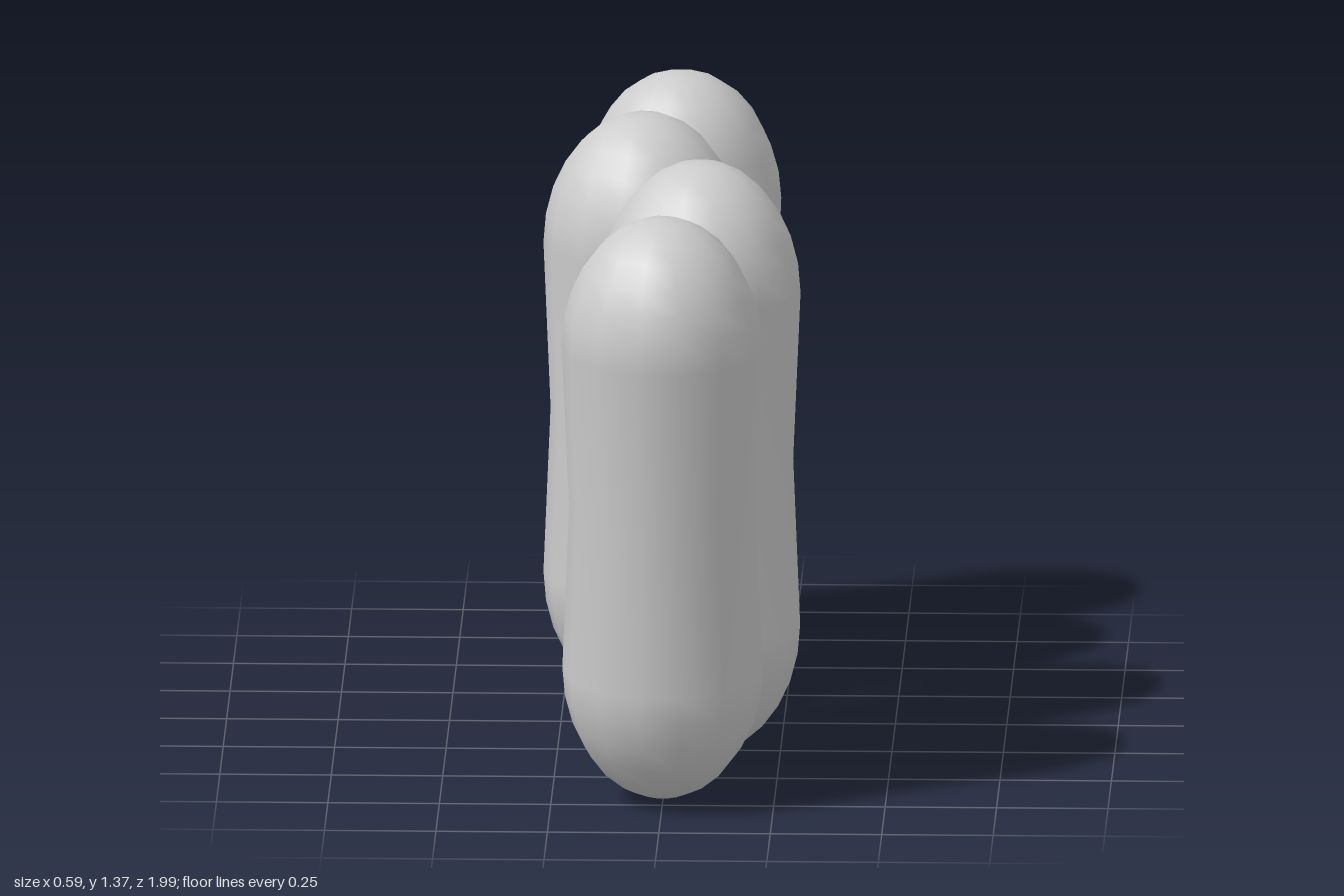
import * as THREE from 'three';

const RADIUS = 0.225;   // widest ring
const WAIST = 0.209;    // slim middle ring
const CAP = 0.3;        // height of each domed end
const HALF = 0.381;     // centre to the base of a dome
const CAP_RINGS = 7;

// Waisted capsule, centred on its own middle
function capsuleGeometry() {
  const dome = [];
  for (let i = 0; i <= CAP_RINGS; i++) {
    const a = (i / CAP_RINGS) * Math.PI / 2;
    dome.push([i === 0 ? 0 : RADIUS * Math.sin(a), HALF + CAP * Math.cos(a)]);
  }
  const profile = [
    ...dome.map(([r, y]) => new THREE.Vector2(r, -y)),
    new THREE.Vector2(WAIST, 0),
    ...dome.map(([r, y]) => new THREE.Vector2(r, y)).reverse(),
  ];
  const geometry = new THREE.LatheGeometry(profile, 14, Math.PI / 2);
  // Straight normals at the two tips
  const { position, normal } = geometry.attributes;
  for (let i = 0; i < position.count; i++) {
    if (Math.hypot(position.getX(i), position.getZ(i)) < 1e-6) {
      normal.setXYZ(i, 0, Math.sign(position.getY(i)), 0);
    }
  }
  return geometry;
}

export function createModel() {
  const model = new THREE.Group();
  model.name = 'capsuleRow';
  const grey = new THREE.MeshStandardMaterial({ color: 0xcccccc });
  grey.name = 'light grey';
  const geometry = capsuleGeometry();

  // Centre of each capsule and its lean in degrees, front to back
  const capsules = [
    { name: 'frontCapsule', at: [0, 0.692, 0.748], lean: 4.4 },
    { name: 'frontMiddleCapsule', at: [0.07, 0.683, 0.263], lean: -2.2 },
    { name: 'backMiddleCapsule', at: [-0.07, 0.684, -0.184], lean: 0 },
    { name: 'backCapsule', at: [0, 0.684, -0.7], lean: 11 },
  ];
  for (const { name, at, lean } of capsules) {
    const mesh = new THREE.Mesh(geometry, grey);
    mesh.name = name;
    mesh.position.set(...at);
    mesh.rotation.x = THREE.MathUtils.degToRad(lean);
    model.add(mesh);
  }
  return model;
}
